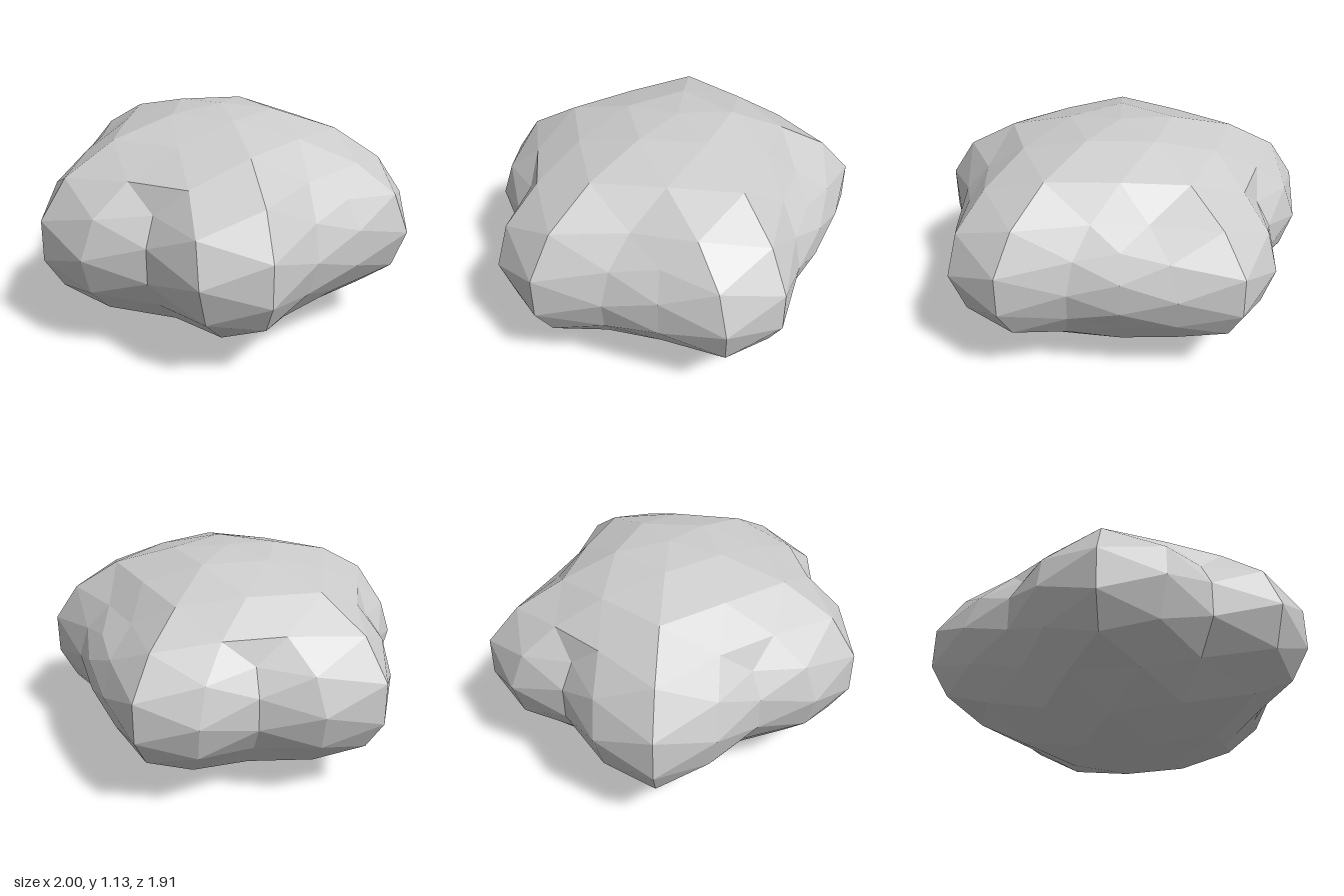
import * as THREE from 'three';

// Equatorial radius every 18 degrees of heading, starting at the back and passing -x, +z, +x
const LOBES = [0.86, 0.99, 0.935, 0.815, 0.943, 1.04, 0.915, 0.83, 0.94, 1.03,
  0.98, 0.87, 1.03, 1.04, 0.88, 0.9, 1.025, 0.99, 0.804, 0.805];
const HALF_HEIGHT = 0.567;

// Direction from a heading (0 = front, 90 = +x) and a height on the unit sphere
function direction(deg, y) {
  const a = THREE.MathUtils.degToRad(deg), r = Math.sqrt(1 - y * y);
  return new THREE.Vector3(Math.sin(a) * r, y, Math.cos(a) * r);
}

// Centre of the shallow dent in the upper back
const DENT = direction(-175, 0.72);

// Lobes that fade out towards the poles, plus the dent, then flattened in height
function weather(point) {
  const d = point.clone().normalize();
  const t = (Math.atan2(d.x, d.z) / Math.PI + 1) * 10;
  const i = Math.floor(t + 1e-6);
  const lobe = THREE.MathUtils.lerp(LOBES[i % 20], LOBES[(i + 1) % 20], t - i);
  const spread = THREE.MathUtils.smoothstep(Math.hypot(d.x, d.z), 0.35, 0.9);
  const dent = 0.1 * Math.max(0, d.dot(DENT)) ** 20;
  d.multiplyScalar((1 + (lobe - 1) * spread) * (1 - dent));
  d.y *= HALF_HEIGHT;
  return d;
}

// Icosahedron faces with a corner at each pole
function icosahedronFaces() {
  const h = 1 / Math.sqrt(5), faces = [];
  const top = new THREE.Vector3(0, 1, 0), bottom = new THREE.Vector3(0, -1, 0);
  const upper = k => direction(-54 + 72 * k, h), lower = k => direction(-18 + 72 * k, -h);
  for (let k = 0; k < 5; k++) {
    faces.push(
      [top, upper(k), upper(k + 1)],
      [upper(k), lower(k), upper(k + 1)],
      [lower(k), lower(k + 1), upper(k + 1)],
      [bottom, lower(k + 1), lower(k)]);
  }
  return faces;
}

function rockGeometry() {
  const positions = [];
  const mid = (a, b) => a.clone().lerp(b, 0.5);
  const addFace = (...corners) => corners.forEach(c => positions.push(...weather(c).toArray()));

  // Each icosahedron edge gives a facet between the centres of its two faces, split in four
  for (const face of icosahedronFaces()) {
    const centre = face[0].clone().add(face[1]).add(face[2]).divideScalar(3);
    for (let i = 0; i < 3; i++) {
      const a = face[i], b = face[(i + 1) % 3];
      const across = centre.clone().reflect(a.clone().cross(b).normalize());
      const ab = mid(a, across), bc = mid(across, centre), ca = mid(centre, a);
      addFace(a, ab, ca);
      addFace(ab, across, bc);
      addFace(ca, bc, centre);
      addFace(ab, bc, ca);
    }
  }

  const geometry = new THREE.BufferGeometry();
  geometry.setAttribute('position', new THREE.Float32BufferAttribute(positions, 3));

  // Centre on the ground
  geometry.computeBoundingBox();
  const box = geometry.boundingBox, c = box.getCenter(new THREE.Vector3());
  geometry.translate(-c.x, -box.min.y, -c.z);
  geometry.computeVertexNormals();
  return geometry;
}

export function createModel() {
  const group = new THREE.Group();
  group.name = 'boulder';
  const material = new THREE.MeshStandardMaterial({ color: 0xcccccc, flatShading: true });
  const rock = new THREE.Mesh(rockGeometry(), material);
  rock.name = 'rock';
  group.add(rock);
  return group;
}
